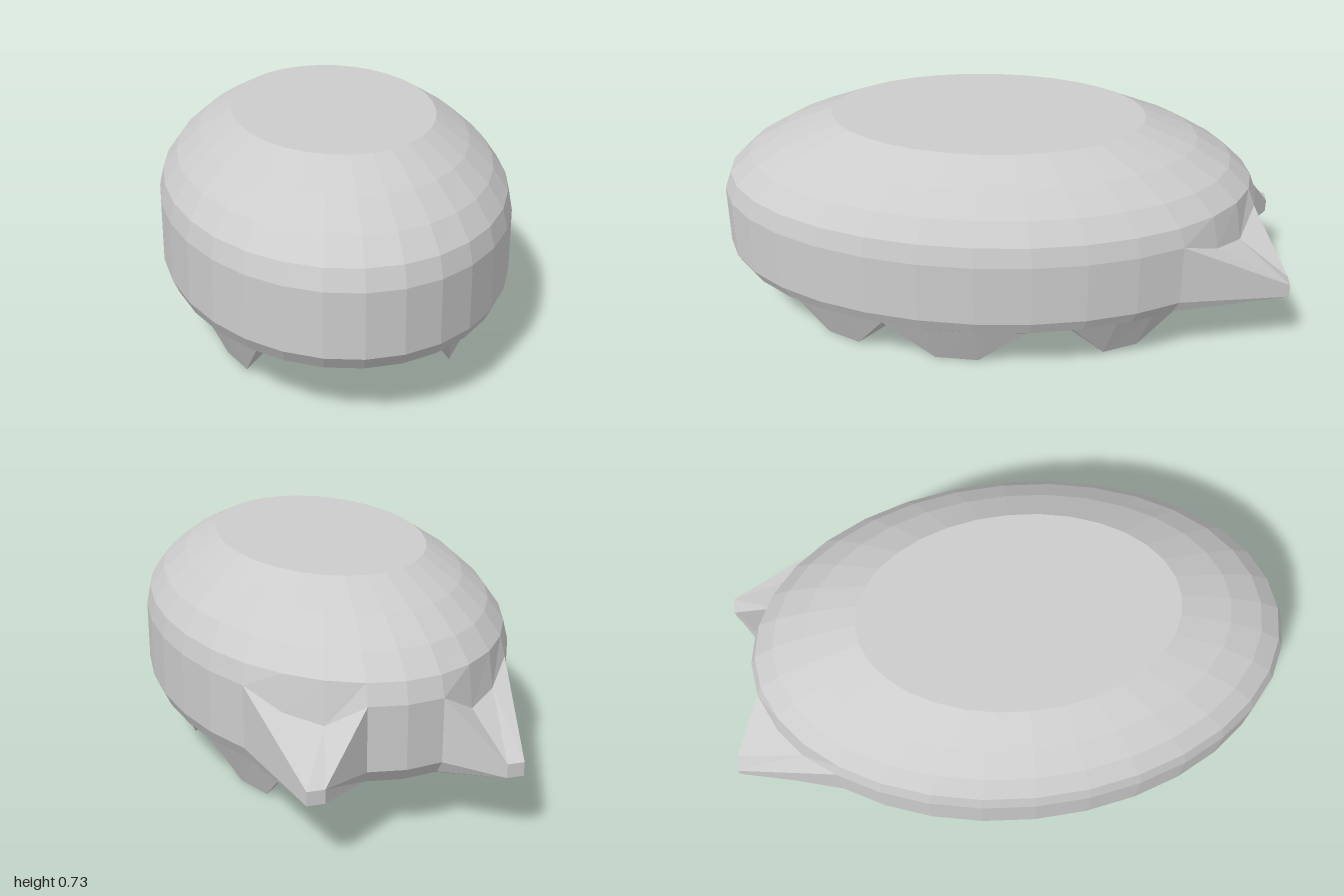
import * as THREE from 'three';

const N = 32, CZ = 0.045;

// Elliptical rings from the underside upwards: half width, half depth, height
const RINGS = [
  [0.375, 0.6, 0.125], [0.47, 0.77, 0.13], [0.54, 0.84, 0.16],
  [0.59, 0.92, 0.195], [0.61, 0.95, 0.24], [0.61, 0.95, 0.45],
  [0.595, 0.925, 0.515], [0.545, 0.85, 0.585], [0.465, 0.73, 0.655],
  [0.355, 0.55, 0.725],
];
const FEET = [[4, 5, 'Front'], [7, 8, 'Middle'], [11, 12, 'Back']];

export function createModel() {
  const group = new THREE.Group();
  const grey = new THREE.MeshStandardMaterial({ color: 0xcccccc, flatShading: true });
  grey.name = 'light grey';

  // Ring grid; every point carries the name of the part it belongs to
  const grid = RINGS.map(([rx, rz, y]) => Array.from({ length: N }, (_, i) => {
    const t = (i / N) * Math.PI * 2;
    return { p: [rx * Math.sin(t), y, CZ + rz * Math.cos(t)], part: null };
  }));

  for (const side of [1, -1]) {
    const label = side > 0 ? 'left' : 'right';
    const at = (r, i) => grid[r][side > 0 ? i : N - i];

    // Feet: pull the lower rings down to the ground
    for (const [a, b, name] of FEET) {
      for (const i of [a, b]) {
        at(0, i).p[1] = 0.055;
        at(1, i).p[1] = 0;
        at(0, i).part = at(1, i).part = label + name + 'Foot';
      }
    }

    // Rear prongs: pull two ring points backwards into a blunt tip
    [[13, 0.335, 0.4], [14, 0.28, 0.38]].forEach(([i, x, top]) => {
      at(3, i).p = [side * x, 0.22, -1];
      at(4, i).p = [side * x, 0.265, -1];
      at(5, i).p[1] = top;
      for (const r of [3, 4]) at(r, i).part = label + 'RearProng';
    });
  }

  const parts = {};
  const tri = (name, a, b, c) => (parts[name] ??= []).push(...a.p, ...b.p, ...c.p);

  // Skin between the rings
  for (let r = 0; r < RINGS.length - 1; r++) {
    for (let i = 0; i < N; i++) {
      const j = (i + 1) % N;
      const a = grid[r][i], b = grid[r][j], c = grid[r + 1][j], d = grid[r + 1][i];
      const name = a.part || b.part || c.part || d.part || 'shell';
      if ((b.part && !a.part) || (d.part && !c.part)) {
        tri(name, a, b, d);
        tri(name, b, c, d);
      } else {
        tri(name, a, b, c);
        tri(name, a, c, d);
      }
    }
  }

  // Flat top and the underside, which fans out from its rear point
  const top = grid[RINGS.length - 1], bottom = grid[0];
  const centre = { p: [0, 0.725, CZ] };
  for (let i = 0; i < N; i++) {
    const j = (i + 1) % N;
    tri('topPlate', centre, top[i], top[j]);
    if (i !== N / 2 && j !== N / 2) tri('underside', bottom[N / 2], bottom[j], bottom[i]);
  }

  for (const [name, positions] of Object.entries(parts)) {
    const geometry = new THREE.BufferGeometry();
    geometry.setAttribute('position', new THREE.Float32BufferAttribute(positions, 3));
    geometry.computeVertexNormals();
    const mesh = new THREE.Mesh(geometry, grey);
    mesh.name = name;
    group.add(mesh);
  }
  return group;
}
